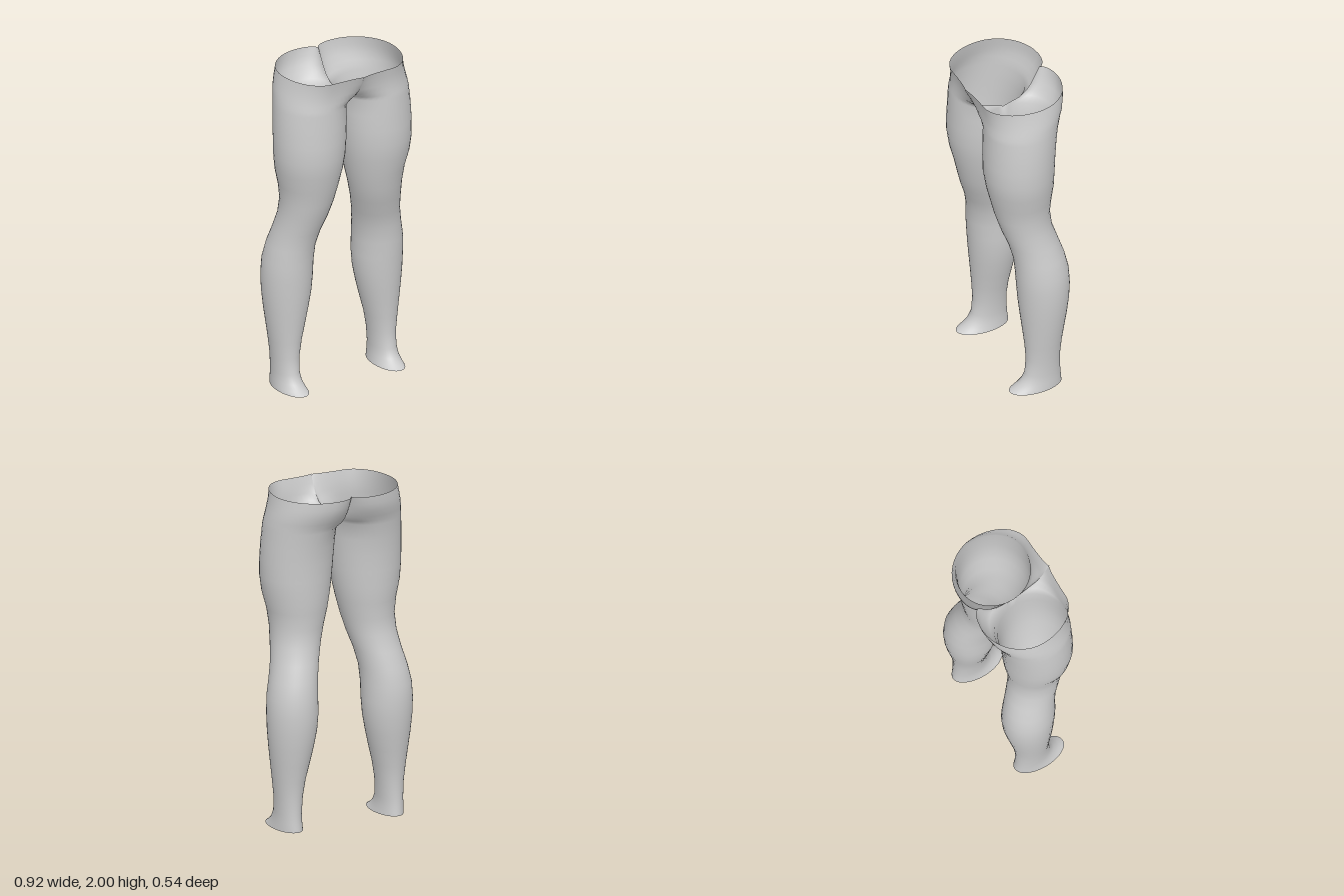
import * as THREE from 'three';
import { mergeVertices, mergeGeometries } from 'three/addons/utils/BufferGeometryUtils.js';

// Leg sections: height, inner x, outer x, front z, back z
const LEG = [
  [0, 0.245, 0.415, 0.15, -0.18],
  [0.02, 0.25, 0.412, 0.115, -0.178],
  [0.05, 0.256, 0.408, 0.078, -0.174],
  [0.1, 0.26, 0.405, 0.05, -0.17],
  [0.2, 0.252, 0.41, 0.04, -0.168],
  [0.3, 0.235, 0.422, 0.046, -0.178],
  [0.4, 0.21, 0.435, 0.055, -0.195],
  [0.5, 0.187, 0.447, 0.065, -0.213],
  [0.6, 0.168, 0.456, 0.074, -0.227],
  [0.7, 0.16, 0.459, 0.081, -0.233],
  [0.8, 0.16, 0.454, 0.088, -0.228],
  [0.9, 0.153, 0.434, 0.094, -0.208],
  [1.0, 0.132, 0.41, 0.117, -0.178],
  [1.1, 0.102, 0.395, 0.153, -0.149],
  [1.2, 0.075, 0.39, 0.182, -0.142],
  [1.3, 0.05, 0.402, 0.205, -0.155],
  [1.4, 0.03, 0.427, 0.23, -0.164],
  [1.5, 0.016, 0.438, 0.245, -0.168],
  [1.6, 0.009, 0.438, 0.246, -0.174],
  [1.7, 0.004, 0.434, 0.243, -0.184],
];

// Hip sections, open at the middle: the same five numbers, then
// front z and back z on the centre line, x of the front and back peaks
const HIPS = [
  [1.8, 0, 0.425, 0.24, -0.203, 0.02, 0.02, 0.22, 0.2],
  [1.83, 0, 0.42, 0.238, -0.215, 0.1, -0.09, 0.22, 0.19],
  [1.86, 0, 0.415, 0.236, -0.228, 0.175, -0.13, 0.21, 0.17],
  [1.9, 0, 0.406, 0.235, -0.25, 0.218, -0.16, 0.21, 0.15],
  [1.95, 0, 0.393, 0.24, -0.265, 0.246, -0.187, 0.2, 0.13],
  [2, 0, 0.382, 0.25, -0.27, 0.27, -0.215, 0.2, 0.12],
];

const STEPS = 10; // points in each quarter of a section

// Runs from the inner side, round the front, the outer side and the back
function section([y, xi, xo, zF, zB, ...open]) {
  const xm = (xi + xo) / 2, zm = (zF + zB) / 2;
  const [zf = zm, zb = zm, xF = xm, xB = xm] = open;
  const points = [];
  for (let j = 0; j <= STEPS * 4; j++) {
    const t = (j / STEPS) * Math.PI / 2;
    const c = Math.cos(t), s = Math.abs(Math.sin(t));
    const front = j <= STEPS * 2, inner = c > 0;
    const xPeak = front ? xF : xB, zPeak = front ? zF : zB;
    const zSide = inner ? (front ? zf : zb) : zm;
    const x = xPeak - c * (inner ? xPeak - xi : xo - xPeak);
    points.push(x, y, zSide + (zPeak - zSide) * s);
  }
  return points;
}

// Skin through all sections of one side (side is 1 or -1)
function legSkin(side) {
  const rows = [...LEG, ...HIPS], n = STEPS * 4 + 1;
  const positions = rows.flatMap(section).map((v, i) => (i % 3 === 0 ? v * side : v));
  const index = [];
  for (let i = 0; i < rows.length - 1; i++) {
    for (let j = 0; j < n - 1; j++) {
      const a = i * n + j, b = a + 1, c = b + n, d = a + n;
      if (side > 0) index.push(a, b, c, a, c, d);
      else index.push(a, c, b, a, d, c);
    }
  }
  const geometry = new THREE.BufferGeometry();
  geometry.setAttribute('position', new THREE.Float32BufferAttribute(positions, 3));
  geometry.setIndex(index);
  return geometry;
}

export function createModel() {
  const group = new THREE.Group();
  group.name = 'legs';
  const grey = new THREE.MeshStandardMaterial({ color: 0xcccccc, side: THREE.DoubleSide });
  grey.name = 'light grey';

  // Both legs welded along the middle of the hips, for one smooth skin
  const geometry = mergeVertices(mergeGeometries([legSkin(1), legSkin(-1)]), 1e-4);
  geometry.computeVertexNormals();
  const mesh = new THREE.Mesh(geometry, grey);
  mesh.name = 'legsAndHips';
  group.add(mesh);
  return group;
}
